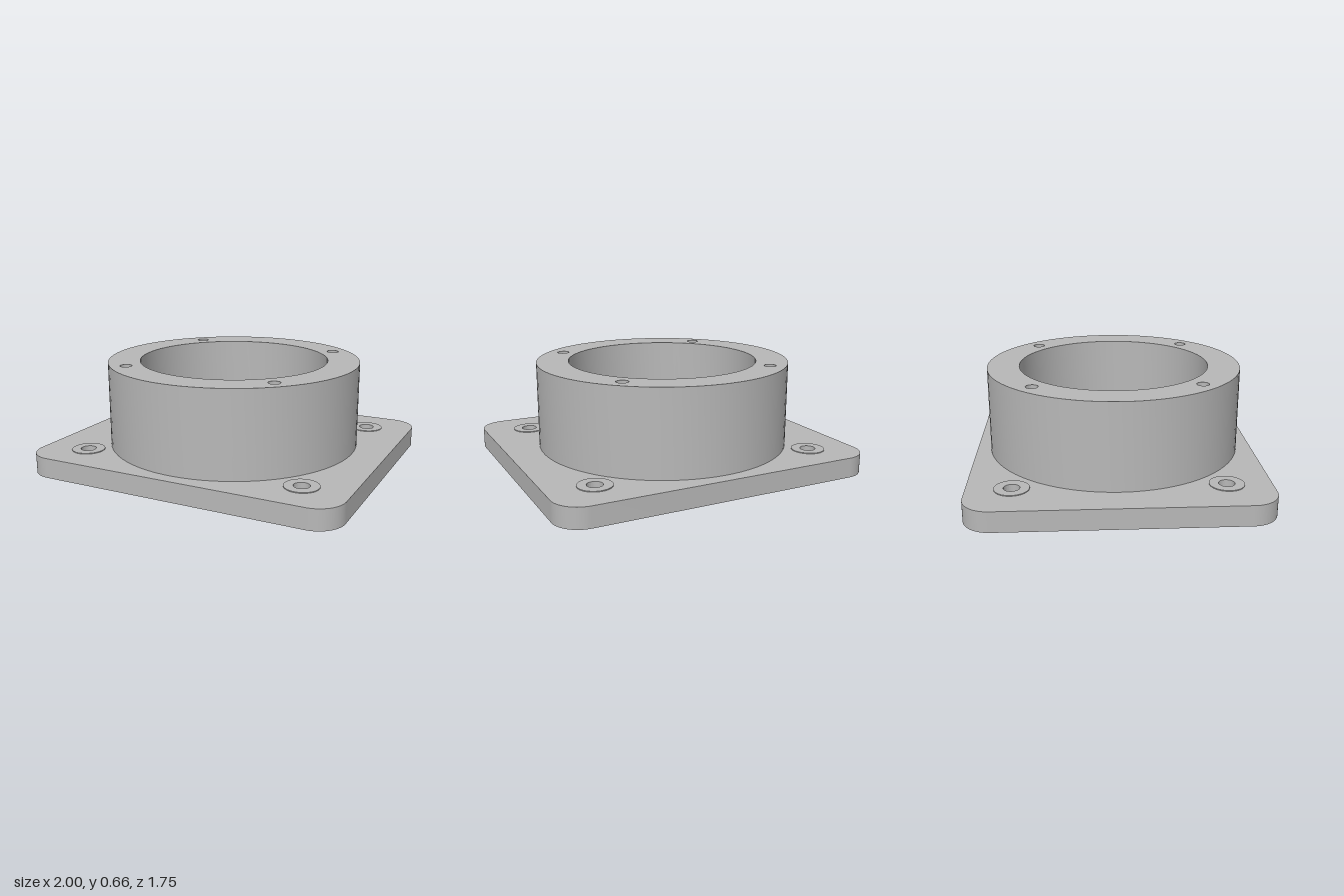
import * as THREE from 'three';
import { toCreasedNormals } from 'three/addons/utils/BufferGeometryUtils.js';

const PLATE_T = 0.124, TOP = 0.655;
const corners = [[1, 1], [-1, 1], [-1, -1], [1, -1]];

function circle(Type, x, y, r) {
  return new Type().absarc(x, y, r, 0, Math.PI * 2, false);
}

// Extrudes a plan outline upward from y0 to y1
function slab(name, shape, y0, y1, material) {
  const g = new THREE.ExtrudeGeometry(shape, { depth: y1 - y0, bevelEnabled: false, curveSegments: 40 });
  g.rotateX(-Math.PI / 2);
  g.translate(0, y0, 0);
  const mesh = new THREE.Mesh(toCreasedNormals(g, 0.6), material);
  mesh.name = name;
  return mesh;
}

export function createModel() {
  const group = new THREE.Group();
  group.name = 'flangedCollar';
  const metal = new THREE.MeshStandardMaterial({ color: 0xb8b8b8 });
  metal.name = 'plain grey';

  const boltX = 0.714, boltZ = 0.612, boltR = 0.047;
  const screwPos = 0.492, screwR = 0.037;

  // Base plate with rounded corners
  const w = 1, d = 0.875, r = 0.165;
  const plate = new THREE.Shape();
  plate.absarc(w - r, d - r, r, 0, Math.PI / 2, false);
  plate.absarc(-w + r, d - r, r, Math.PI / 2, Math.PI, false);
  plate.absarc(-w + r, -d + r, r, Math.PI, Math.PI * 1.5, false);
  plate.absarc(w - r, -d + r, r, Math.PI * 1.5, Math.PI * 2, false);
  plate.closePath();
  plate.holes.push(circle(THREE.Path, 0, 0, 0.57));

  // Collar, bored slightly wider than the plate to leave a lip
  const collar = circle(THREE.Shape, 0, 0, 0.795);
  collar.holes.push(circle(THREE.Path, 0, 0, 0.595));

  // Bolt holes with thin raised pads, and screw holes through collar and plate
  for (const [sx, sz] of corners) {
    plate.holes.push(circle(THREE.Path, sx * boltX, sz * boltZ, boltR));
    plate.holes.push(circle(THREE.Path, sx * screwPos, sz * screwPos, screwR));
    collar.holes.push(circle(THREE.Path, sx * screwPos, sz * screwPos, screwR));
    const pad = circle(THREE.Shape, sx * boltX, sz * boltZ, 0.102);
    pad.holes.push(circle(THREE.Path, sx * boltX, sz * boltZ, boltR));
    group.add(slab('boltPad', pad, PLATE_T, PLATE_T + 0.005, metal));
  }

  group.add(slab('basePlate', plate, 0, PLATE_T, metal));
  group.add(slab('collar', collar, PLATE_T, TOP, metal));
  return group;
}
